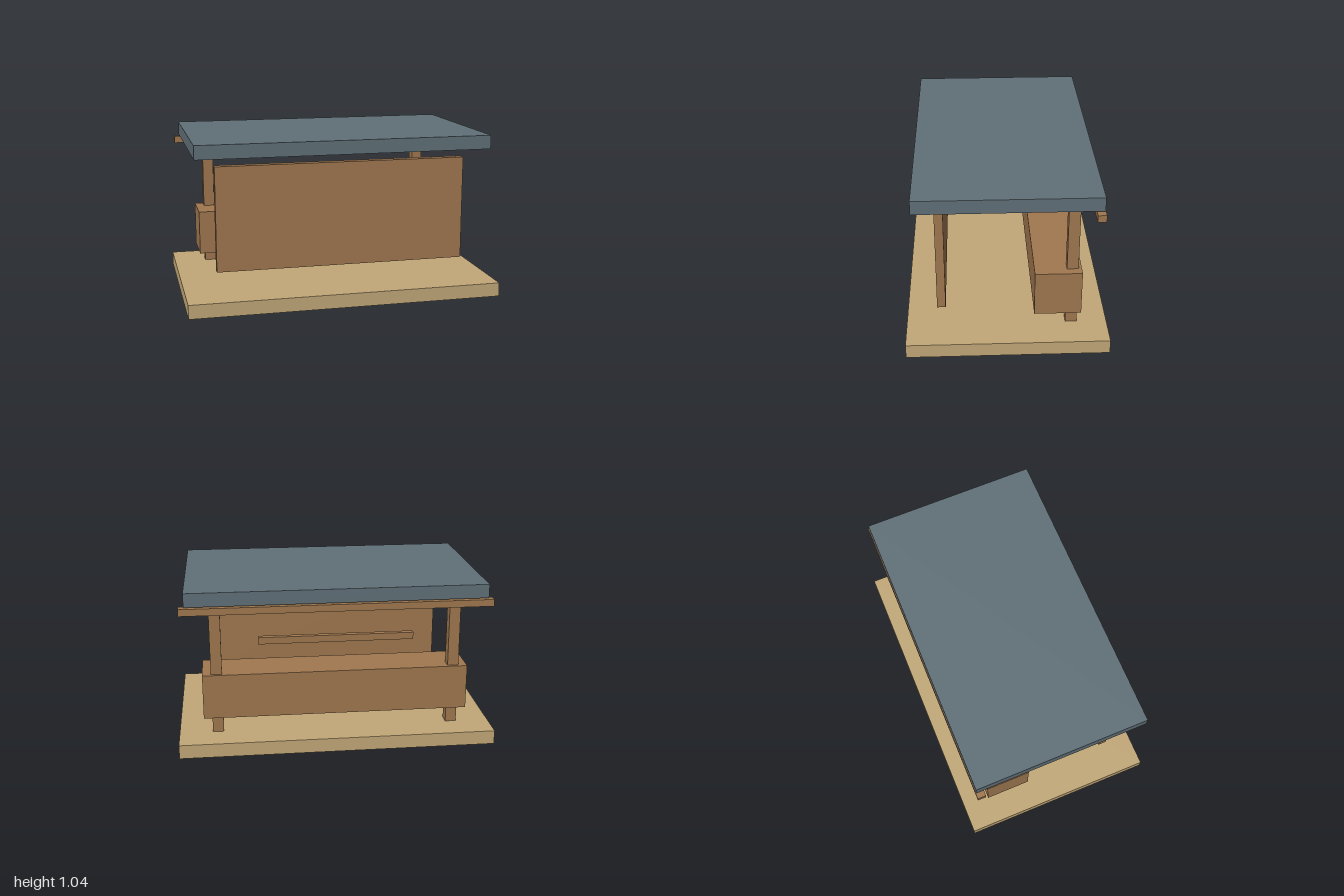
import * as THREE from 'three';

const material = (color) => new THREE.MeshStandardMaterial({ color });

export function createModel() {
  const group = new THREE.Group();
  const sand = material(0xc2a878);
  const wood = material(0xa07850);
  const slate = material(0x607078);

  // Box given by its extents along each axis
  const box = (name, mat, [x0, x1], [y0, y1], [z0, z1]) => {
    const mesh = new THREE.Mesh(new THREE.BoxGeometry(x1 - x0, y1 - y0, z1 - z0), mat);
    mesh.position.set((x0 + x1) / 2, (y0 + y1) / 2, (z0 + z1) / 2);
    mesh.name = name;
    group.add(mesh);
  };

  // Floor slab and flat roof
  box('floorSlab', sand, [-1, 1], [0, 0.089], [-0.622, 0.622]);
  box('roof', slate, [-0.933, 0.933], [0.957, 1.044], [-0.555, 0.557]);

  // Front wall panel, raised above the floor
  box('wallPanel', wood, [-0.8, 0.8], [0.225, 0.89], [0.377, 0.43]);

  // Long counter at the back
  box('counter', wood, [-0.844, 0.844], [0.191, 0.479], [-0.455, -0.166]);

  // Pair of posts carrying the roof
  for (const side of [-1, 1]) {
    const x = side * 0.755;
    box(side > 0 ? 'leftPost' : 'rightPost', wood, [x - 0.035, x + 0.035], [0.089, 0.957], [-0.435, -0.364]);
  }

  // Eave beam and the short rail between the posts
  box('eaveBeam', wood, [-0.967, 0.967], [0.904, 0.948], [-0.56, -0.507]);
  box('rail', wood, [-0.489, 0.489], [0.669, 0.713], [-0.44, -0.404]);

  return group;
}
